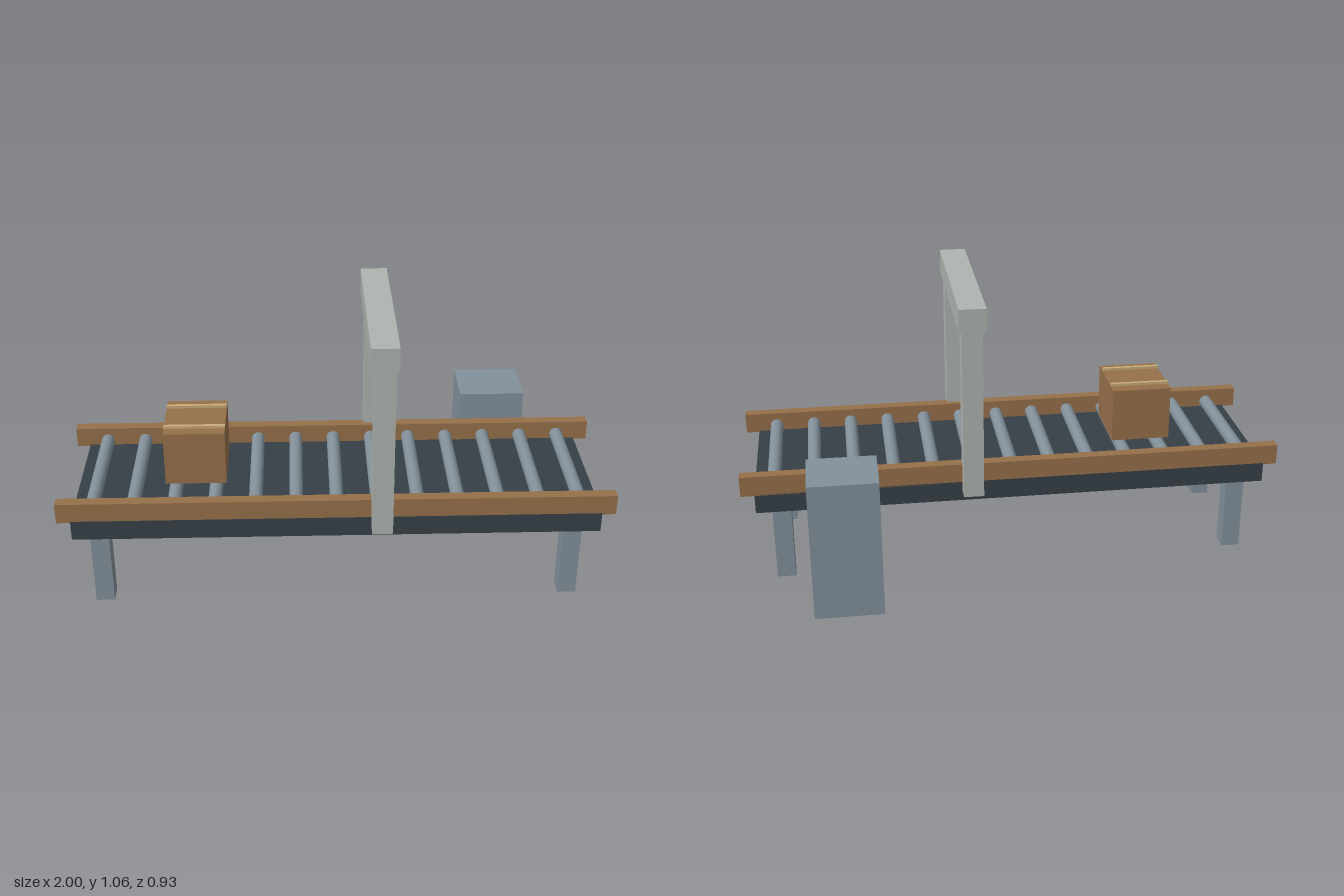
import * as THREE from 'three';

const mat = (color) => new THREE.MeshStandardMaterial({ color });

export function createModel() {
  const model = new THREE.Group();
  model.name = 'rollerConveyor';
  const wood = mat(0x96704a), dark = mat(0x363f47), steel = mat(0x82909a);
  const paint = mat(0xaeb4b0), cyan = mat(0x48b4cc), screenBlue = mat(0x234f62);
  const green = mat(0x4fae8c), tape = mat(0xc8aa78);

  // Box given by its extents along each axis
  const block = (name, material, [x0, x1], [y0, y1], [z0, z1], parent = model) => {
    const mesh = new THREE.Mesh(new THREE.BoxGeometry(x1 - x0, y1 - y0, z1 - z0), material);
    mesh.position.set((x0 + x1) / 2, (y0 + y1) / 2, (z0 + z1) / 2);
    mesh.name = name;
    parent.add(mesh);
    return mesh;
  };
  const group = (name) => {
    const g = new THREE.Group();
    g.name = name;
    model.add(g);
    return g;
  };

  // Conveyor bed, side rails and legs
  const midZ = 0.107;
  block('bed', dark, [-0.95, 0.95], [0.297, 0.372], [-0.193, 0.408]);
  for (const s of [-1, 1]) {
    const rail = block('sideRail', wood, [-1, 1], [0.367, 0.443], [-0.021, 0.021]);
    rail.position.z = midZ + s * 0.279;
    for (const t of [-1, 1]) {
      const leg = block('leg', steel, [-0.034, 0.034], [0, 0.298], [-0.034, 0.034]);
      leg.position.x = t * 0.859;
      leg.position.z = midZ + s * 0.223;
    }
  }

  // Rollers across the bed
  const rollers = group('rollers');
  const rollerGeometry = new THREE.CylinderGeometry(0.025, 0.025, 0.52, 20).rotateX(Math.PI / 2);
  for (let i = 0; i < 13; i++) {
    const roller = new THREE.Mesh(rollerGeometry, steel);
    roller.name = 'roller';
    roller.position.set((i - 6) * 0.1465, 0.392, midZ);
    rollers.add(roller);
  }

  // Scanner arch over the belt
  const arch = group('scannerArch');
  block('frontPost', paint, [0.121, 0.195], [0.336, 0.974], [0.387, 0.463], arch);
  block('backPost', paint, [0.121, 0.195], [0.336, 0.974], [-0.247, -0.171], arch);
  block('beam', paint, [0.107, 0.205], [0.973, 1.06], [-0.247, 0.463], arch);
  block('lightStrip', cyan, [0.133, 0.183], [0.958, 0.975], [-0.171, 0.387], arch);

  // Parcel with two straps
  const parcel = group('parcel');
  block('carton', wood, [-0.622, -0.4], [0.422, 0.627], [-0.021, 0.238], parcel);
  for (const z of [0.031, 0.19])
    block('strap', tape, [-0.622, -0.4], [0.626, 0.637], [z - 0.007, z + 0.007], parcel);

  // Control cabinet with its screen facing the conveyor
  const cabinet = group('controlCabinet');
  block('housing', steel, [0.507, 0.757], [0, 0.525], [-0.463, -0.242], cabinet);
  block('screen', screenBlue, [0.54, 0.724], [0.31, 0.403], [-0.243, -0.228], cabinet);
  block('indicatorBar', green, [0.567, 0.697], [0.363, 0.373], [-0.229, -0.222], cabinet);

  return model;
}
